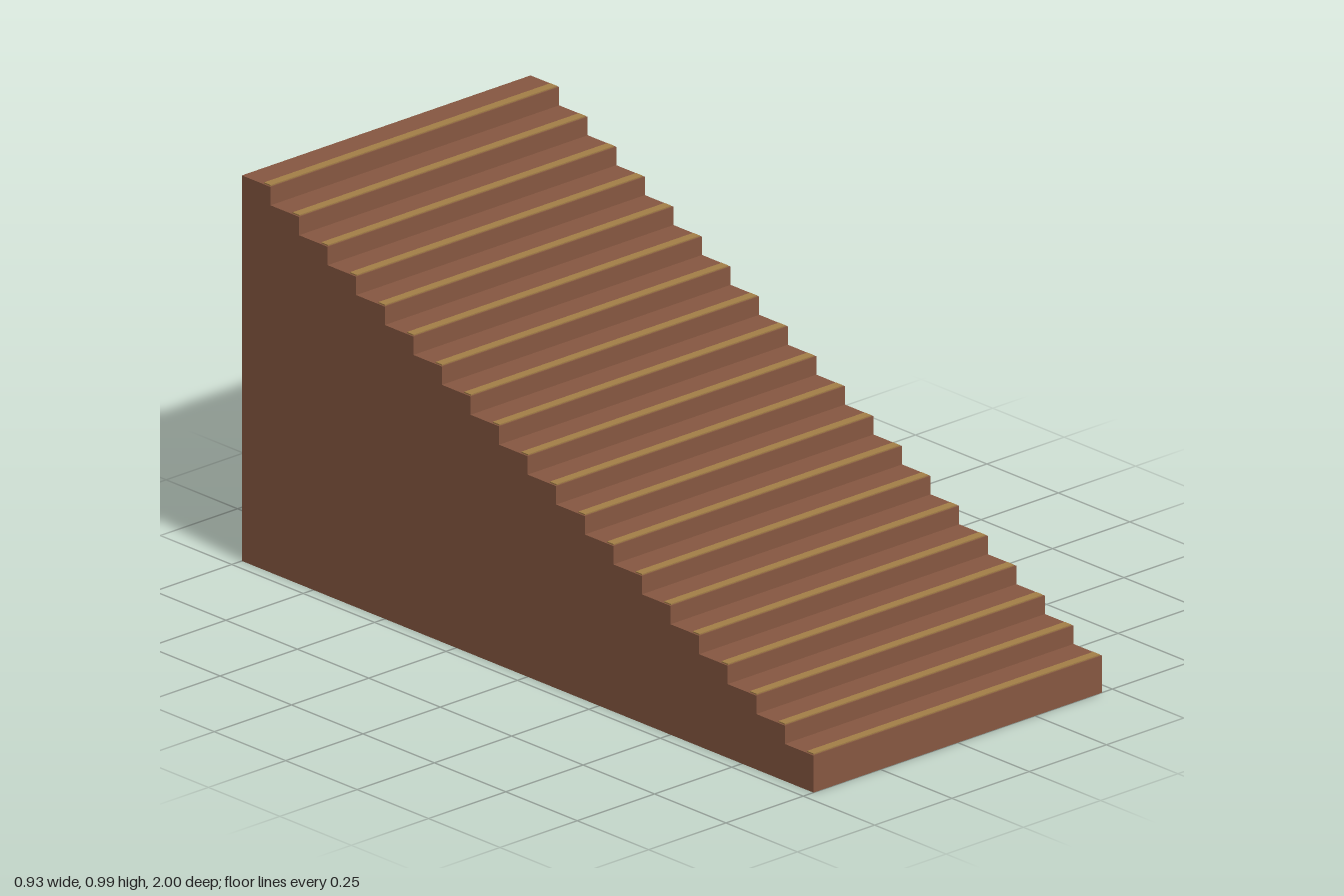
import * as THREE from 'three';

export function createModel() {
  const wood = new THREE.MeshStandardMaterial({ color: 0x865741 });
  wood.name = 'brown wood';
  const brass = new THREE.MeshStandardMaterial({ color: 0xa37e47 });
  brass.name = 'brass';

  const steps = 20, run = 0.1, rise = 0.047, first = 0.095, width = 0.934;
  const stepTop = (i) => first + i * rise;
  const stepFront = (i) => 1 - i * run;

  const group = new THREE.Group();
  group.name = 'staircase';

  // Solid stepped block: side profile drawn as (-z, y), extruded across x
  const profile = new THREE.Shape();
  profile.moveTo(-1, 0);
  profile.lineTo(1, 0);
  for (let i = steps - 1; i >= 0; i--) {
    profile.lineTo(-stepFront(i) + run, stepTop(i));
    profile.lineTo(-stepFront(i), stepTop(i));
  }
  const body = new THREE.ExtrudeGeometry(profile, { depth: width, bevelEnabled: false });
  body.translate(0, 0, -width / 2);
  body.rotateY(Math.PI / 2);
  const stairs = new THREE.Mesh(body, wood);
  stairs.name = 'stairBlock';
  group.add(stairs);

  // Thin nosing strip along the front edge of each tread
  const strip = new THREE.BoxGeometry(width - 0.008, 0.004, 0.023);
  for (let i = 0; i < steps; i++) {
    const nosing = new THREE.Mesh(strip, brass);
    nosing.name = 'nosingStrip';
    nosing.position.set(0, stepTop(i) + 0.001, stepFront(i) - 0.015);
    group.add(nosing);
  }
  return group;
}
